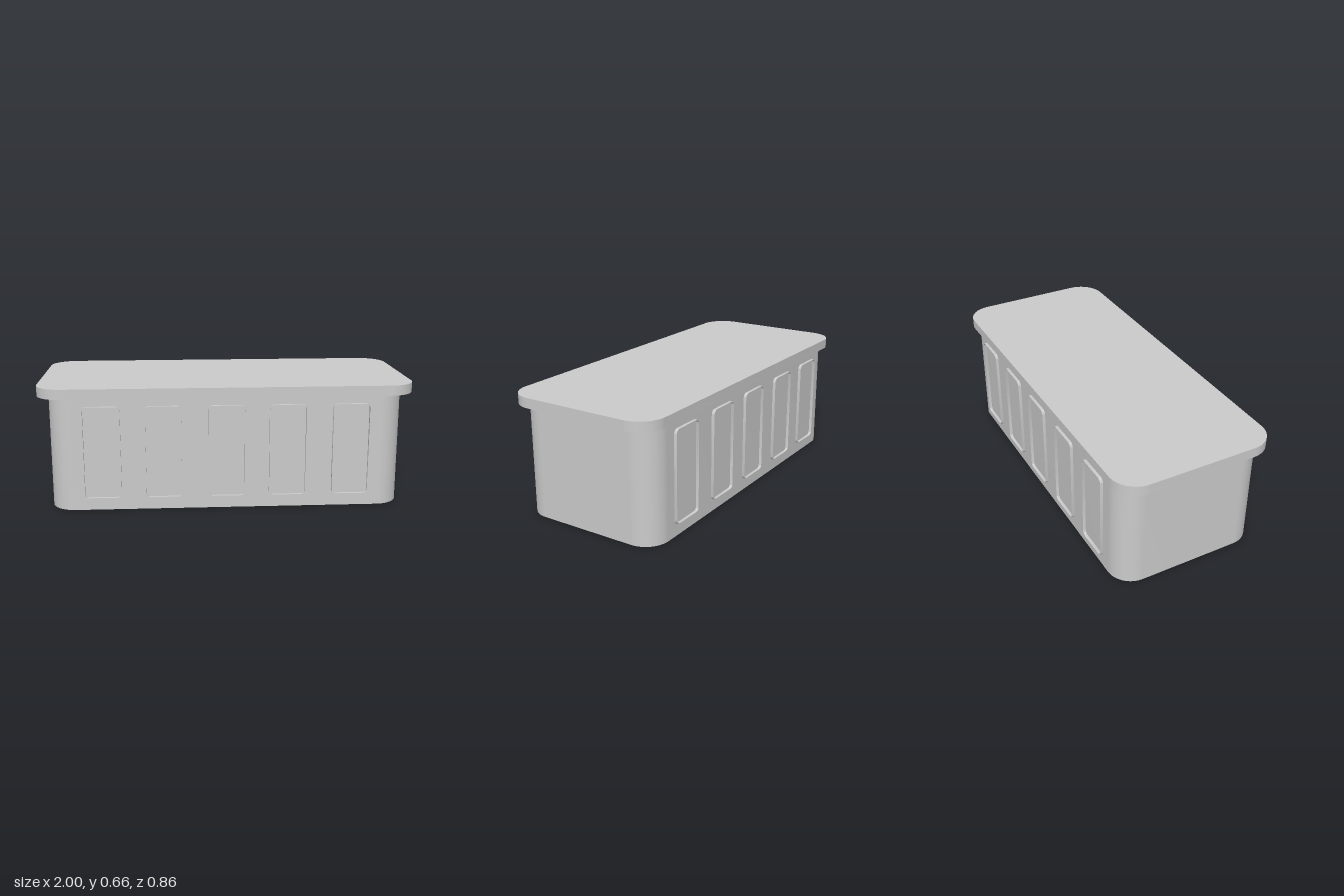
import * as THREE from 'three';
import { toCreasedNormals } from 'three/addons/utils/BufferGeometryUtils.js';

const grey = new THREE.MeshStandardMaterial({ color: 0xcccccc });

// Traces a rounded rectangle centred on the origin.
function roundedRect(path, w, h, r) {
  const x = w / 2, y = h / 2;
  path.moveTo(x, -y + r);
  path.absarc(x - r, y - r, r, 0, Math.PI / 2);
  path.absarc(-x + r, y - r, r, Math.PI / 2, Math.PI);
  path.absarc(-x + r, -y + r, r, Math.PI, Math.PI * 1.5);
  path.absarc(x - r, -y + r, r, Math.PI * 1.5, Math.PI * 2);
  path.closePath();
  return path;
}

function extrude(shape, depth, curveSegments) {
  const geometry = new THREE.ExtrudeGeometry(shape, { depth, curveSegments, bevelEnabled: false });
  return toCreasedNormals(geometry, 0.6);
}

// Upright block with rounded vertical corners, standing on height y.
function block(name, width, depth, radius, y, height) {
  const geometry = extrude(roundedRect(new THREE.Shape(), width, depth, radius), height, 16);
  geometry.rotateX(-Math.PI / 2);
  const mesh = new THREE.Mesh(geometry, grey);
  mesh.name = name;
  mesh.position.y = y;
  return mesh;
}

export function createModel() {
  const group = new THREE.Group();
  group.name = 'liddedBox';

  // Body and overhanging lid
  group.add(block('body', 1.88, 0.814, 0.13, 0, 0.61));
  group.add(block('lid', 2, 0.864, 0.14, 0.606, 0.054));

  // Thin raised rims outlining five panels on the front and back
  const rim = roundedRect(new THREE.Shape(), 0.198, 0.498, 0.026);
  rim.holes.push(roundedRect(new THREE.Path(), 0.188, 0.488, 0.021));
  const rimGeometry = extrude(rim, 0.023, 8);
  const centres = [-0.661, -0.337, -0.003, 0.321, 0.658];
  for (const side of [1, -1]) {
    for (const x of centres) {
      const mesh = new THREE.Mesh(rimGeometry, grey);
      mesh.name = side > 0 ? 'frontPanelRim' : 'backPanelRim';
      mesh.position.set(x, 0.314, side * 0.4);
      if (side < 0) mesh.rotation.y = Math.PI;
      group.add(mesh);
    }
  }
  return group;
}
